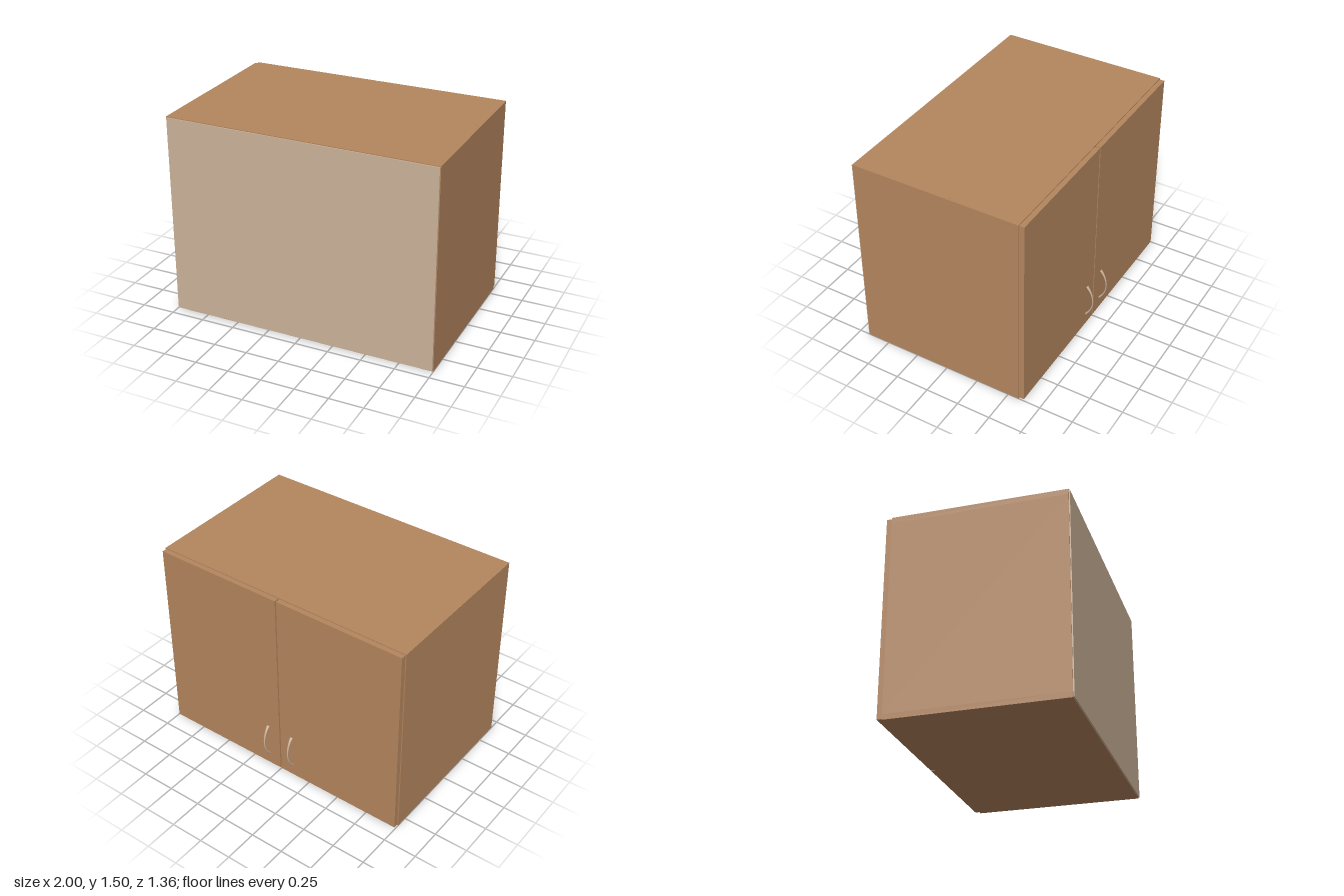
import * as THREE from 'three';

const wood = new THREE.MeshStandardMaterial({ color: 0xb4865e });
wood.name = 'wood';
const beige = new THREE.MeshStandardMaterial({ color: 0xcbb299 });
beige.name = 'beige';

// Box given by its min and max corners
function panel(name, material, [x0, y0, z0], [x1, y1, z1]) {
  const mesh = new THREE.Mesh(new THREE.BoxGeometry(x1 - x0, y1 - y0, z1 - z0), material);
  mesh.position.set((x0 + x1) / 2, (y0 + y1) / 2, (z0 + z1) / 2);
  mesh.name = name;
  return mesh;
}

// Bow handle: a tube along an arc, slim in the middle and flared at both feet
function handleGeometry() {
  const segments = 28, sides = 12, radius = 0.19, half = 0.75;
  const points = [];
  for (let i = 0; i <= 16; i++) {
    const a = (i / 8 - 1) * half;
    points.push(new THREE.Vector3(0, radius * Math.sin(a), -radius * Math.cos(a)));
  }
  const curve = new THREE.CatmullRomCurve3(points);
  const geometry = new THREE.TubeGeometry(curve, segments, 1, sides);
  const pos = geometry.attributes.position;
  const v = new THREE.Vector3();
  for (let i = 0; i < pos.count; i++) {
    const u = Math.floor(i / (sides + 1)) / segments;
    const flare = (2 * u - 1) ** 2;
    const center = curve.getPointAt(u);
    v.fromBufferAttribute(pos, i).sub(center);
    const depth = 0.004 + 0.004 * flare;
    v.set(v.x * (0.006 + 0.006 * flare), v.y * depth, v.z * depth).add(center);
    pos.setXYZ(i, v.x, v.y, v.z);
  }
  geometry.computeVertexNormals();
  return geometry;
}

export function createModel() {
  const cabinet = new THREE.Group();
  cabinet.name = 'cabinet';
  const t = 0.04, back = -0.583, front = 0.671;

  // Carcass
  cabinet.add(
    panel('topPanel', wood, [-1, 1.5 - t, back], [1, 1.5, front]),
    panel('bottomPanel', wood, [-1, 0, back], [1, t, front]),
    panel('leftSide', wood, [1 - t, t, back], [1, 1.5 - t, front]),
    panel('rightSide', wood, [-1, t, back], [-1 + t, 1.5 - t, front]),
    panel('shelf', wood, [-1 + t, 0.73, back + 0.05], [1 - t, 0.73 + t, front]),
    panel('coverPanel', beige, [-0.995, 0.006, front], [0.995, 1.494, 0.679])
  );

  // Screw caps along the ends of the top and bottom panels
  const cap = new THREE.CylinderGeometry(0.009, 0.009, 0.002, 12);
  for (const x of [-0.975, 0.975]) {
    for (const z of [0.57, 0.24, -0.08, -0.41]) {
      const mesh = new THREE.Mesh(cap, wood);
      mesh.name = 'screwCap';
      mesh.position.set(x, 1.4995, z);
      cabinet.add(mesh);
    }
  }

  // Pair of doors with bow handles
  const handle = handleGeometry();
  for (const [side, s] of [['left', 1], ['right', -1]]) {
    const a = s * 0.005, b = s * 0.993;
    cabinet.add(panel(side + 'Door', wood,
      [Math.min(a, b), 0.008, -0.621], [Math.max(a, b), 1.494, -0.584]));
    const mesh = new THREE.Mesh(handle, beige);
    mesh.name = side + 'Handle';
    mesh.position.set(s * 0.105, 0.23, -0.482);
    cabinet.add(mesh);
  }
  return cabinet;
}
